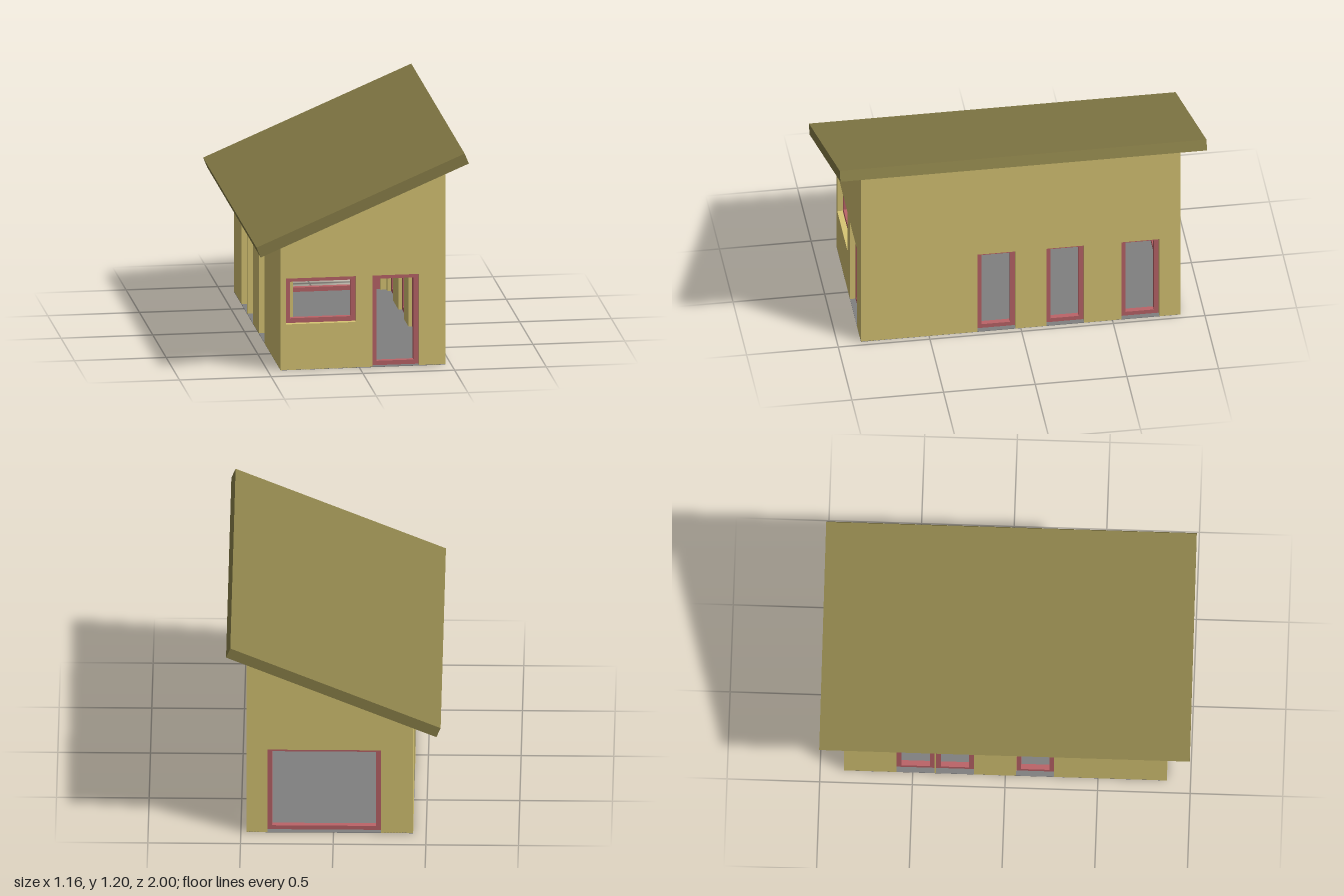
import * as THREE from 'three';

const WALL_T = 0.08, FRAME_W = 0.026, FRAME_D = 0.03, REVEAL = 0.03, BASE = 0.001;
const X0 = -0.43, X1 = 0.47, ZH = 0.872, HEAD = 0.51;

const mat = (color) => new THREE.MeshStandardMaterial({ color, flatShading: true });

// Underside of the sloping roof at a given x
const eaves = (x) => 0.902 + 0.425 * x;

function rect(target, a, b, y0, y1) {
  target.moveTo(a, y0);
  target.lineTo(b, y0);
  target.lineTo(b, y1);
  target.lineTo(a, y1);
  target.closePath();
  return target;
}

function extrude(shape, depth, z) {
  const g = new THREE.ExtrudeGeometry(shape, { depth, bevelEnabled: false });
  g.translate(0, 0, z);
  return g;
}

// Wall lying in local x/y with its outer face at z = 0.
// Openings are [start, end, sill], in order along the wall.
function makeWall(name, a, b, ha, hb, openings, wallMat, frameMat) {
  const group = new THREE.Group();
  group.name = name;
  const shape = new THREE.Shape();
  shape.moveTo(a, BASE);
  for (const [s, e, sill] of openings) {
    if (sill > 0) {
      shape.holes.push(rect(new THREE.Path(), s, e, sill, HEAD));
    } else {
      // full-height openings are notched out of the bottom edge
      shape.lineTo(s, BASE);
      shape.lineTo(s, HEAD);
      shape.lineTo(e, HEAD);
      shape.lineTo(e, BASE);
    }
  }
  shape.lineTo(b, BASE);
  shape.lineTo(b, hb);
  shape.lineTo(a, ha);
  shape.closePath();
  const wall = new THREE.Mesh(extrude(shape, WALL_T, -WALL_T), wallMat);
  wall.name = name + 'Panel';
  group.add(wall);

  // Recessed frame around every opening
  openings.forEach(([s, e, sill], i) => {
    const y0 = Math.max(sill, BASE);
    const outline = rect(new THREE.Shape(), s, e, y0, HEAD);
    outline.holes.push(rect(new THREE.Path(), s + FRAME_W, e - FRAME_W, y0 + FRAME_W, HEAD - FRAME_W));
    const frame = new THREE.Mesh(extrude(outline, FRAME_D, -REVEAL - FRAME_D), frameMat);
    frame.name = name + 'Frame' + (i + 1);
    group.add(frame);
  });
  return group;
}

export function createModel() {
  const house = new THREE.Group();
  house.name = 'house';
  const wallMat = mat(0xd8c674), frameMat = mat(0xbb6468);
  const roofMat = mat(0x8a8049), floorMat = mat(0x808080);

  // Front wall: window and door
  const front = makeWall('frontWall', X0, X1, eaves(X0), eaves(X1),
    [[-0.4, -0.018, 0.255], [0.07, 0.325, 0]], wallMat, frameMat);
  front.position.z = ZH;

  // Back wall: one wide opening (local x is mirrored)
  const back = makeWall('backWall', -X1, -X0, eaves(X1), eaves(X0),
    [[-0.357, 0.255, 0]], wallMat, frameMat);
  back.rotation.y = Math.PI;
  back.position.z = -ZH;

  // Side walls fit between the end walls, their tops buried in the roof
  const half = ZH - WALL_T;
  const hi = eaves(X1), lo = eaves(X0 + WALL_T);
  const left = makeWall('leftWall', -half, half, hi, hi,
    [[-0.235, -0.028, 0], [0.14, 0.346, 0], [0.55, 0.756, 0]], wallMat, frameMat);
  left.rotation.y = Math.PI / 2;
  left.position.x = X1;
  const right = makeWall('rightWall', -half, half, lo, lo,
    [[-0.588, -0.383, 0], [-0.375, -0.17, 0], [0.058, 0.263, 0]], wallMat, frameMat);
  right.rotation.y = -Math.PI / 2;
  right.position.x = X0;

  // Thin floor under the whole footprint
  const floor = new THREE.Mesh(new THREE.BoxGeometry(X1 - X0, 0.003, 2 * ZH), floorMat);
  floor.name = 'floor';
  floor.position.set((X0 + X1) / 2, 0.0015, 0);

  // Overhanging single-pitch roof
  const profile = new THREE.Shape([
    [-0.557, 0.665], [0.578, 1.147], [0.555, 1.203], [-0.58, 0.721],
  ].map(([x, y]) => new THREE.Vector2(x, y)));
  const roof = new THREE.Mesh(extrude(profile, 2, -1), roofMat);
  roof.name = 'roof';

  house.add(front, back, left, right, floor, roof);
  return house;
}
